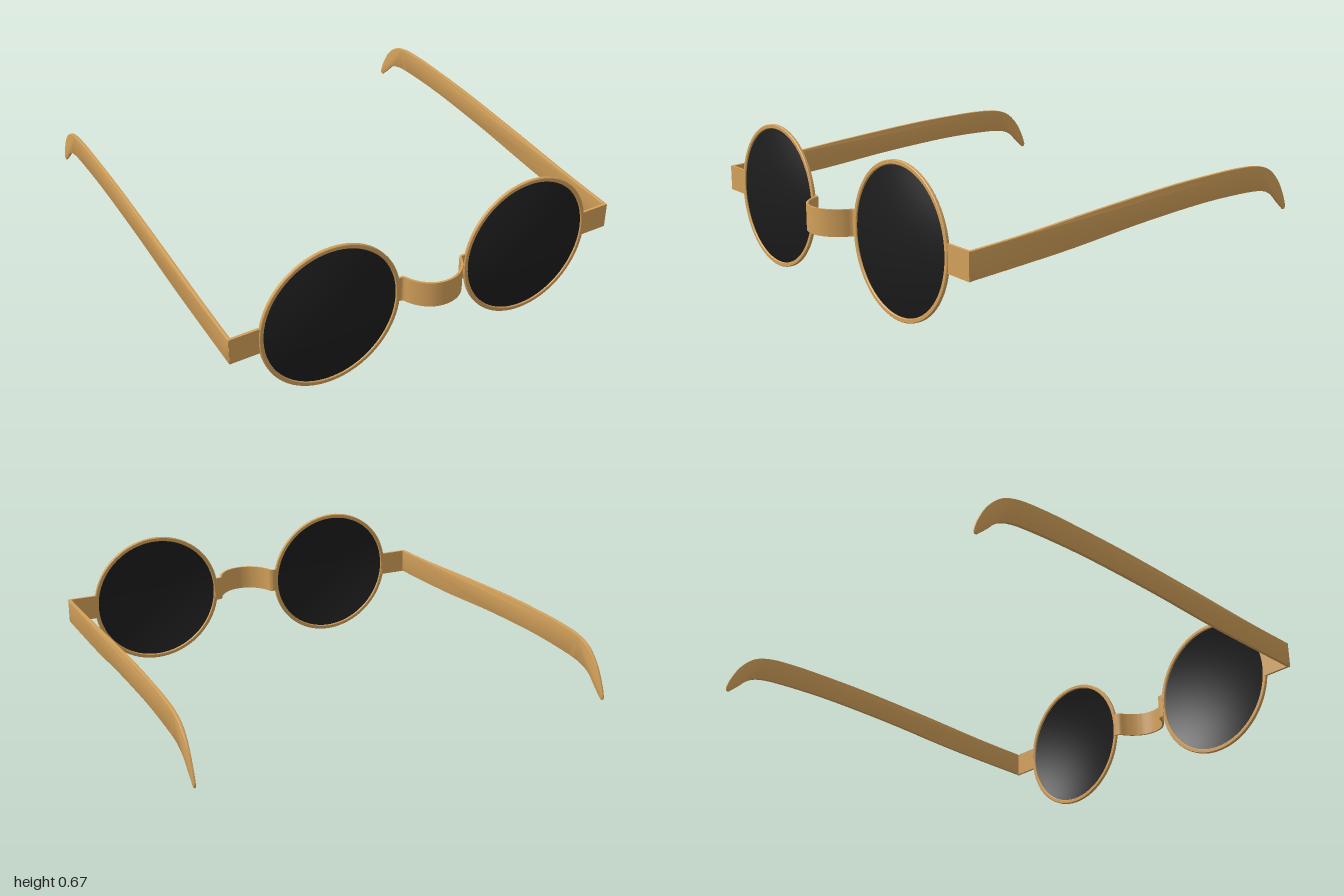
import * as THREE from 'three';
import { toCreasedNormals } from 'three/addons/utils/BufferGeometryUtils.js';

const V = (x, y) => new THREE.Vector2(x, y);
const frameMat = new THREE.MeshStandardMaterial({ color: 0xd2a05a, side: THREE.DoubleSide });
const lensMat = new THREE.MeshStandardMaterial({ color: 0x1c1c1c, side: THREE.DoubleSide });

const BAND_Y = 0.285, BAND_H = 0.12;

function mesh(name, geometry, material) {
  const m = new THREE.Mesh(geometry, material);
  m.name = name;
  return m;
}

// Upright strip of even thickness that follows a path of (x, z) points
function band(path, thickness) {
  const offset = (d) => path.map((p, i) => {
    const a = path[Math.max(i - 1, 0)], b = path[Math.min(i + 1, path.length - 1)];
    const t = b.clone().sub(a).normalize();
    return V(p.x - t.y * d, -(p.y + t.x * d));
  });
  const shape = new THREE.Shape([...offset(thickness / 2), ...offset(-thickness / 2).reverse()]);
  const g = new THREE.ExtrudeGeometry(shape, { depth: BAND_H, bevelEnabled: false });
  g.rotateX(-Math.PI / 2).translate(0, BAND_Y, 0);
  return toCreasedNormals(g, 0.6);
}

// Thin ring with softened edges
function rimGeometry() {
  const profile = [
    [0.315, -0.005], [0.318, -0.008], [0.332, -0.008], [0.335, -0.005],
    [0.335, 0.005], [0.332, 0.008], [0.318, 0.008], [0.315, 0.005], [0.315, -0.005],
  ].map(([r, y]) => V(r, y));
  return toCreasedNormals(new THREE.LatheGeometry(profile, 72).rotateX(Math.PI / 2), 0.6);
}

// Shallow dome bulging forward
function lensGeometry() {
  const profile = [];
  for (let i = 0; i <= 14; i++) {
    const t = 1 - i / 14;
    profile.push(V(0.318 * t, 0.056 * (1 - t * t)));
  }
  return new THREE.LatheGeometry(profile, 72).rotateX(Math.PI / 2);
}

// Side arm: curved outline with a hooked ear end, given as (-z, y)
function templeGeometry(side) {
  const s = new THREE.Shape();
  s.moveTo(-0.885, 0.285);
  s.lineTo(-0.885, 0.405);
  s.splineThru([V(-0.6, 0.425), V(-0.2, 0.463), V(0.2, 0.496), V(0.5, 0.51), V(0.65, 0.512),
    V(0.77, 0.505), V(0.86, 0.477), V(0.93, 0.415), V(0.975, 0.34), V(0.994, 0.29)]);
  s.quadraticCurveTo(0.997, 0.266, 0.978, 0.27);
  s.splineThru([V(0.935, 0.308), V(0.88, 0.358), V(0.81, 0.382), V(0.7, 0.39), V(0.5, 0.39),
    V(0.3, 0.381), V(0, 0.358), V(-0.4, 0.318), V(-0.885, 0.285)]);
  const g = new THREE.ExtrudeGeometry(s, {
    depth: 0.008, curveSegments: 60, bevelThickness: 0.003, bevelSize: 0.003,
    bevelOffset: -0.003, bevelSegments: 2,
  });
  g.translate(0, 0, -0.004).rotateY(Math.PI / 2);
  // Lean slightly inward towards the ear and thin the tip
  const p = g.attributes.position;
  for (let i = 0; i < p.count; i++) {
    const z = p.getZ(i);
    const back = (0.885 - z) / 1.88;
    const thin = 1 - 0.5 * THREE.MathUtils.smoothstep(-z, 0.85, 1);
    p.setX(i, p.getX(i) * 1.15 * thin + side * (0.961 - 0.008 * back));
  }
  return toCreasedNormals(g, 0.7);
}

export function createModel() {
  const group = new THREE.Group();
  group.name = 'roundSunglasses';

  for (const [side, label] of [[1, 'left'], [-1, 'right']]) {
    // Rim and lens share a slight backward tilt
    const eye = new THREE.Group();
    eye.name = label + 'Eye';
    eye.position.set(side * 0.5, 0.34, 0.883);
    eye.rotation.x = -0.024;
    eye.add(mesh(label + 'Rim', rimGeometry(), frameMat));
    eye.add(mesh(label + 'Lens', lensGeometry(), lensMat));
    group.add(eye);

    // Flat tab from rim to temple
    const ends = [V(side * 0.822, 0.88), V(side * 0.967, 0.88)];
    group.add(mesh(label + 'EndPiece', band(ends, 0.012), frameMat));
    group.add(mesh(label + 'Temple', templeGeometry(side), frameMat));
  }

  // Bridge bowing forward over the nose
  const half = [[0.178, 0.878], [0.155, 0.878], [0.143, 0.886], [0.128, 0.918],
    [0.1, 0.953], [0.065, 0.979], [0.03, 0.991]];
  const curve = new THREE.SplineCurve([
    ...half.map(([x, z]) => V(-x, z)), V(0, 0.994), ...half.reverse().map(([x, z]) => V(x, z)),
  ]);
  group.add(mesh('bridge', band(curve.getPoints(56), 0.01), frameMat));

  return group;
}
